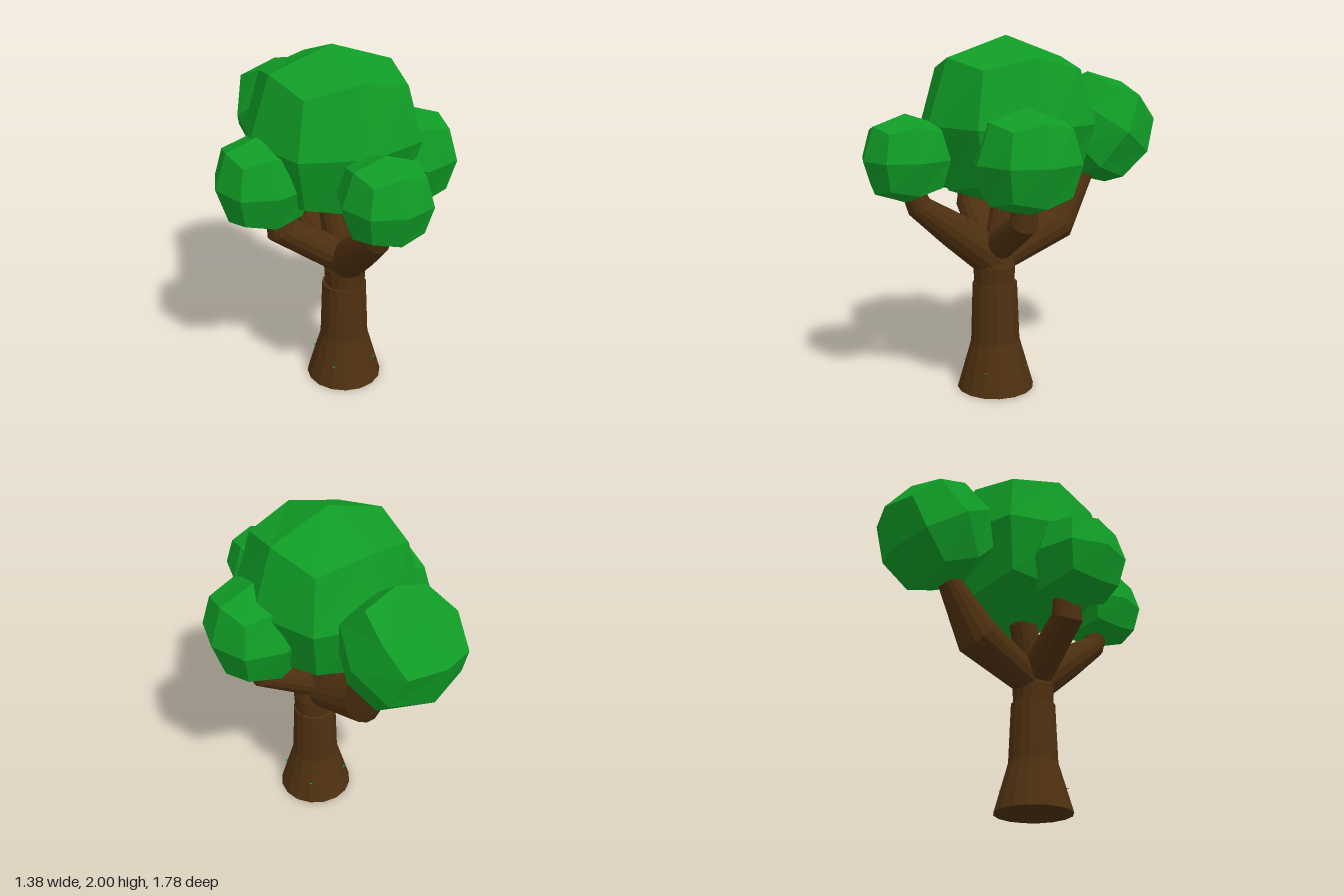
import * as THREE from 'three';

const leafGreen = new THREE.MeshStandardMaterial({ color: 0x109c26 });
leafGreen.name = 'leafGreen';
const barkBrown = new THREE.MeshStandardMaterial({ color: 0x4e3010 });
barkBrown.name = 'barkBrown';
const grassGreen = new THREE.MeshStandardMaterial({ color: 0x0f9626, side: THREE.DoubleSide });
grassGreen.name = 'grassGreen';

// Unshared corners give faceted normals
function faceted(geometry) {
  const g = geometry.index ? geometry.toNonIndexed() : geometry;
  g.computeVertexNormals();
  return g;
}

function addMesh(group, name, geometry, material) {
  const mesh = new THREE.Mesh(geometry, material);
  mesh.name = name;
  group.add(mesh);
  return mesh;
}

// Rounded cube of 24 faces: edge midpoints and corners are pulled inward
function crownGeometry(radius) {
  const g = new THREE.BoxGeometry(2, 2, 2, 2, 2, 2);
  const pos = g.attributes.position;
  const v = new THREE.Vector3();
  const pull = [0, 1, 0.75, 0.62];
  for (let i = 0; i < pos.count; i++) {
    v.fromBufferAttribute(pos, i);
    const used = v.toArray().filter((c) => Math.abs(c) > 0.5).length;
    v.multiplyScalar(pull[used] * radius);
    pos.setXYZ(i, v.x, v.y, v.z);
  }
  return faceted(g);
}

// Tapered limb swept through [x, y, z, radius] stations, with mitred joints and end caps
function limbGeometry(stations, sides = 14) {
  const pts = stations.map((s) => new THREE.Vector3(s[0], s[1], s[2]));
  const last = pts.length - 1;
  const verts = [];
  const index = [];
  const firstDir = pts[1].clone().sub(pts[0]).normalize();
  const hint = Math.abs(firstDir.z) > Math.abs(firstDir.x)
    ? new THREE.Vector3(1, 0, 0) : new THREE.Vector3(0, 0, 1);
  pts.forEach((p, i) => {
    const t = new THREE.Vector3();
    if (i > 0) t.add(p.clone().sub(pts[i - 1]).normalize());
    if (i < last) t.add(pts[i + 1].clone().sub(p).normalize());
    t.normalize();
    const u = hint.clone().addScaledVector(t, -hint.dot(t)).normalize();
    const w = t.clone().cross(u);
    for (let k = 0; k < sides; k++) {
      const a = (k / sides) * Math.PI * 2;
      const q = p.clone()
        .addScaledVector(u, Math.cos(a) * stations[i][3])
        .addScaledVector(w, Math.sin(a) * stations[i][3]);
      verts.push(q.x, q.y, q.z);
    }
  });
  for (let i = 0; i < last; i++) {
    for (let k = 0; k < sides; k++) {
      const a = i * sides + k;
      const b = i * sides + (k + 1) % sides;
      index.push(a, b, b + sides, a, b + sides, a + sides);
    }
  }
  for (let k = 1; k < sides - 1; k++) {
    index.push(0, k + 1, k);
    index.push(last * sides, last * sides + k, last * sides + k + 1);
  }
  const g = new THREE.BufferGeometry();
  g.setAttribute('position', new THREE.Float32BufferAttribute(verts, 3));
  g.setIndex(index);
  return faceted(g);
}

export function createModel() {
  const tree = new THREE.Group();
  tree.name = 'tree';

  // Trunk flaring at the foot, with a slimmer neck on top
  addMesh(tree, 'trunk', limbGeometry([
    [0.04, 0, 0.14, 0.22], [0.04, 0.28, 0.14, 0.14], [0.037, 0.62, 0.14, 0.127],
  ], 16), barkBrown);
  addMesh(tree, 'trunkNeck', limbGeometry([
    [0.04, 0.6, 0.145, 0.113], [0.04, 0.72, 0.145, 0.12], [0.04, 0.8, 0.14, 0.1],
  ], 16), barkBrown);

  // Branches reaching into the crowns
  const branches = {
    frontBranch: [[0.04, 0.74, 0.13, 0.115], [0.02, 0.94, 0.38, 0.1], [0, 1.09, 0.58, 0.07], [0, 1.22, 0.63, 0.06]],
    backBranch: [[0.03, 0.75, 0.13, 0.09], [0, 0.92, -0.275, 0.125], [0, 1.2, -0.47, 0.065], [0, 1.3, -0.52, 0.06]],
    rightBranch: [[0.06, 0.76, 0.14, 0.1], [-0.33, 1.02, 0.1, 0.09], [-0.34, 1.2, 0.09, 0.07]],
    leftBranch: [[0.02, 0.8, 0.14, 0.09], [0.375, 1.02, 0.145, 0.08], [0.39, 1.15, 0.145, 0.065]],
    middleBranch: [[0.04, 0.72, 0.13, 0.09], [0.01, 0.95, 0.08, 0.08], [0, 1.2, 0.02, 0.08]],
  };
  for (const [name, stations] of Object.entries(branches)) {
    addMesh(tree, name, limbGeometry(stations), barkBrown);
  }

  // Leaf crowns: centre, radius, tilt about x
  const crowns = [
    ['mainCrown', [0, 1.52, 0.045], 0.477, 0],
    ['frontCrown', [0, 1.355, 0.65], 0.237, 0],
    ['rightCrown', [-0.43, 1.315, 0.09], 0.26, 0],
    ['leftCrown', [0.4, 1.35, 0.148], 0.285, 0],
    ['backCrown', [0, 1.46, -0.567], 0.318, -0.583],
  ];
  for (const [name, centre, radius, tilt] of crowns) {
    const crown = addMesh(tree, name, crownGeometry(radius), leafGreen);
    crown.position.set(...centre);
    crown.rotation.x = tilt;
  }

  // Flat square of grass whose corners poke out of the foot
  const grass = addMesh(tree, 'grassPatch', new THREE.PlaneGeometry(0.275, 0.275), grassGreen);
  grass.rotation.x = -Math.PI / 2;
  grass.position.set(0.04, 0.135, 0.14);

  return tree;
}
